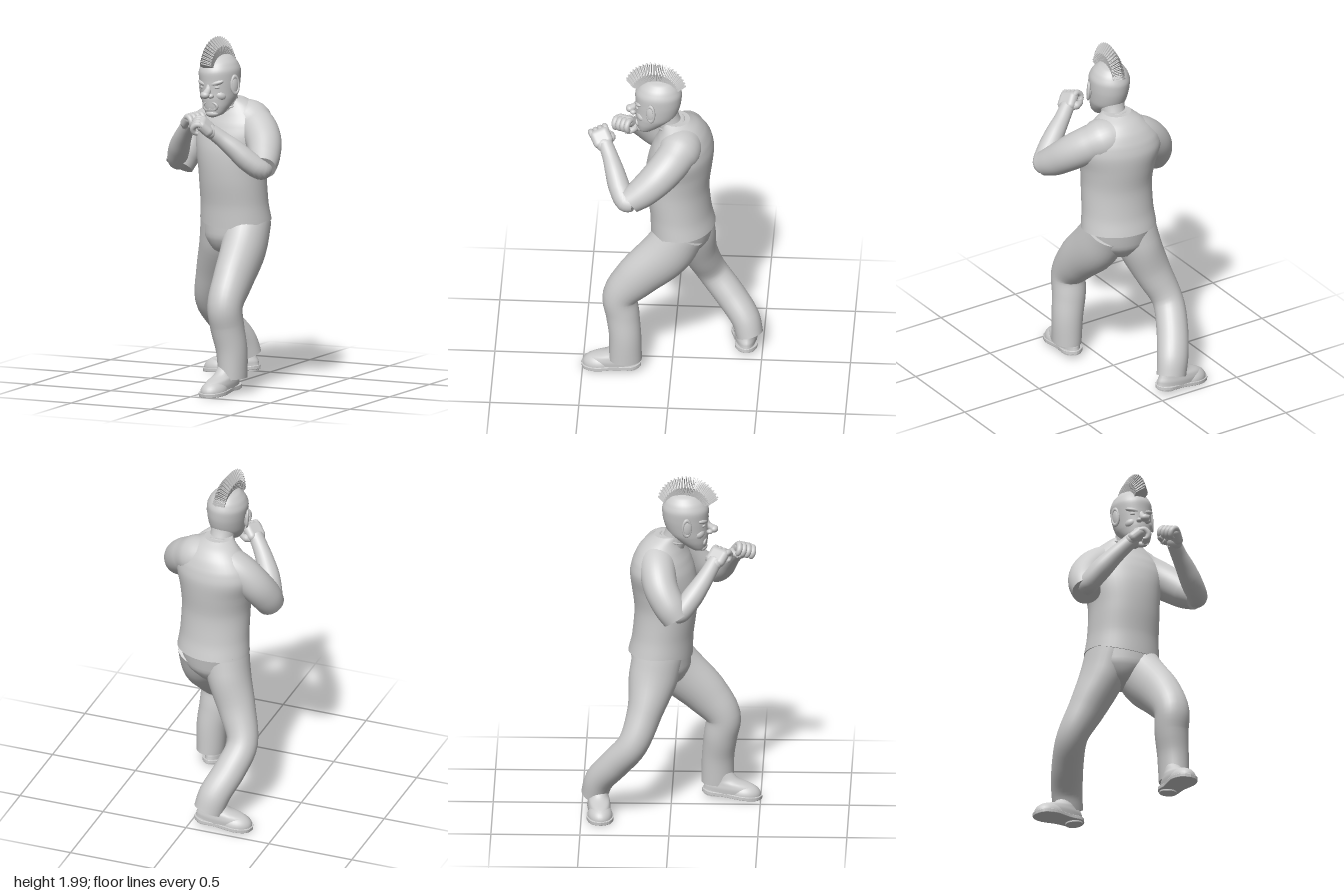
import * as THREE from 'three';
import { RoundedBoxGeometry } from 'three/addons/geometries/RoundedBoxGeometry.js';

const V = (x, y, z) => new THREE.Vector3(x, y, z);
const mat = new THREE.MeshStandardMaterial({ color: 0xcccccc, side: THREE.DoubleSide });

function add(parent, name, geo, pos = [0, 0, 0], scale = [1, 1, 1], rot = [0, 0, 0]) {
  const m = new THREE.Mesh(geo, mat);
  m.name = name;
  m.position.set(...pos);
  m.scale.set(...scale);
  m.rotation.set(...rot);
  parent.add(m);
  return m;
}

// Smooth skin over elliptical rings [x, y, z, radiusA, radiusB].
// flat keeps every ring horizontal; yaw turns the first ring axis about y.
function loft(rows, { flat = false, yaw = 0, seg = 28, steps = 5 } = {}) {
  const path = new THREE.CatmullRomCurve3(rows.map(r => V(r[0], r[1], r[2])));
  const radii = new THREE.CatmullRomCurve3(rows.map(r => V(r[3], r[4] ?? r[3], 0)));
  const n = (rows.length - 1) * steps, pos = [], idx = [];
  for (let i = 0; i <= n; i++) {
    const c = path.getPoint(i / n), r = radii.getPoint(i / n);
    const t = flat ? V(0, 1, 0) : path.getTangent(i / n);
    const u = V(Math.cos(yaw), 0, Math.sin(yaw));
    u.addScaledVector(t, -u.dot(t)).normalize();
    const v = t.clone().cross(u);
    for (let j = 0; j < seg; j++) {
      const a = j / seg * Math.PI * 2;
      const p = c.clone().addScaledVector(u, Math.cos(a) * r.x).addScaledVector(v, Math.sin(a) * r.y);
      pos.push(p.x, p.y, p.z);
      if (i < n) {
        const k = i * seg + j, l = i * seg + (j + 1) % seg;
        idx.push(k, l, l + seg, k, l + seg, k + seg);
      }
    }
  }
  // End caps with their own vertices keep the rims sharp
  for (const i of [0, n]) {
    const base = pos.length / 3;
    pos.push(...pos.slice(i * seg * 3, (i + 1) * seg * 3), ...path.getPoint(i / n).toArray());
    for (let j = 0; j < seg; j++) {
      const a = base + j, b = base + (j + 1) % seg;
      idx.push(base + seg, ...(i ? [a, b] : [b, a]));
    }
  }
  const g = new THREE.BufferGeometry();
  g.setAttribute('position', new THREE.Float32BufferAttribute(pos, 3));
  g.setIndex(idx);
  g.computeVertexNormals();
  return g;
}

const ball = new THREE.SphereGeometry(1, 24, 16);
const dome = new THREE.SphereGeometry(1, 28, 10, 0, Math.PI * 2, 0, Math.PI / 2);

function makeHead() {
  const head = new THREE.Group();
  head.name = 'head';
  add(head, 'skull', loft([
    [0, -0.188, 0.085, 0.012, 0.012], [0, -0.175, 0.077, 0.048, 0.042], [0, -0.13, 0.05, 0.078, 0.08],
    [0, -0.08, 0.022, 0.097, 0.113], [0, 0, 0.008, 0.109, 0.128], [0, 0.06, 0.006, 0.113, 0.132],
    [0, 0.11, 0.003, 0.096, 0.112], [0, 0.145, 0, 0.064, 0.076], [0, 0.163, 0, 0.012, 0.015]], { flat: true, seg: 36 }));
  // Broad upturned nose
  add(head, 'noseBridge', loft([[0, 0.005, 0.12, 0.013], [0, -0.03, 0.132, 0.018], [0, -0.054, 0.16, 0.022]], { seg: 14 }));
  add(head, 'noseTip', ball, [0, -0.056, 0.168], [0.027, 0.021, 0.023]);
  // Grinning mouth: lips, tooth rows and chin
  add(head, 'lips', new THREE.TorusGeometry(0.038, 0.008, 10, 28), [0, -0.126, 0.118], [1.15, 0.7, 1], [0.2, 0, 0]);
  for (let i = -2; i <= 2; i++)
    for (const y of [-0.111, -0.142])
      add(head, 'tooth', new RoundedBoxGeometry(0.011, 0.012, 0.01, 2, 0.003), [i * 0.012, y, 0.125 - Math.abs(i) * 0.003]);
  add(head, 'chin', ball, [0, -0.168, 0.1], [0.042, 0.022, 0.028]);
  for (const s of [-1, 1]) {
    add(head, 'nostril', ball, [s * 0.026, -0.064, 0.146], [0.016, 0.014, 0.018]);
    add(head, 'eye', ball, [s * 0.043, -0.018, 0.111], [0.021, 0.011, 0.016]);
    add(head, 'brow', ball, [s * 0.045, 0.006, 0.11], [0.042, 0.015, 0.02], [0, s * 0.35, s * 0.25]);
    add(head, 'cheek', ball, [s * 0.048, -0.066, 0.09], [0.038, 0.03, 0.03], [0, s * 0.5, s * -0.4]);
    add(head, 'earRim', new THREE.TorusGeometry(0.029, 0.008, 8, 24), [s * 0.115, -0.012, 0.03], [0.8, 1.6, 1], [0, s * 1.15, 0]);
    add(head, 'earBowl', ball, [s * 0.11, -0.014, 0.032], [0.014, 0.05, 0.027], [0, s * -0.3, 0]);
  }
  // Crest: a fan of thin pointed blades over the skull
  const outline = new THREE.Shape([[-0.03, 0], [0.03, 0], [0.037, 0.55], [0, 1], [-0.037, 0.55]]
    .map(p => new THREE.Vector2(...p)));
  const blade = new THREE.ExtrudeGeometry(outline, { depth: 0.006, bevelEnabled: false });
  const count = 42;
  for (let i = 0; i < count; i++) {
    const f = i / (count - 1), a = 1.15 - f * 2.3;
    const tip = 0.193 + 0.02 * Math.sin(f * Math.PI) - 0.022 * f + (i % 2) * 0.008;
    add(head, 'crestBlade', blade, [0, 0.05 + Math.cos(a) * 0.09, 0.012 + Math.sin(a) * 0.09], [1, tip - 0.09, 1], [a, 0, 0]);
  }
  head.position.set(-0.022, 1.737, 0.075);
  head.rotation.set(0, -0.12, 0.06);
  return head;
}

// Closed fist: y runs along the forearm, fingers curl toward +z
function makeFist(name, pos, dir, across, thumbSide) {
  const hand = new THREE.Group();
  hand.name = name;
  add(hand, 'palm', new RoundedBoxGeometry(0.114, 0.105, 0.06, 4, 0.028), [0, -0.005, 0]);
  add(hand, 'heel', ball, [0, -0.045, 0.002], [0.047, 0.045, 0.038]);
  for (let i = 0; i < 4; i++) {
    const x = (i - 1.5) * 0.028;
    add(hand, 'finger', loft([[x, 0.02, -0.008, 0.015], [x, 0.047, 0.005, 0.017], [x, 0.05, 0.038, 0.0165],
      [x, 0.028, 0.054, 0.015], [x, 0.006, 0.044, 0.009]], { seg: 12, steps: 4 }));
  }
  const s = thumbSide;
  add(hand, 'thumb', loft([[s * 0.035, -0.04, 0.014, 0.018], [s * 0.058, -0.012, 0.03, 0.018],
    [s * 0.044, 0.012, 0.055, 0.015], [s * 0.02, 0.02, 0.064, 0.009]], { seg: 12 }));
  const y = V(...dir).normalize(), x = V(...across);
  x.addScaledVector(y, -x.dot(y)).normalize();
  hand.quaternion.setFromRotationMatrix(new THREE.Matrix4().makeBasis(x, y, x.clone().cross(y)));
  hand.position.set(...pos);
  return hand;
}

// Shoe: toe toward +z, heel toward -z
function makeShoe(name, pos, yaw) {
  const shoe = new THREE.Group();
  shoe.name = name;
  const outline = new THREE.Shape(new THREE.SplineCurve([[0, 0.172], [0.05, 0.15], [0.074, 0.08], [0.058, -0.03],
    [0.055, -0.12], [0, -0.165], [-0.055, -0.12], [-0.058, -0.03], [-0.074, 0.08], [-0.05, 0.15], [0, 0.172]]
    .map(p => new THREE.Vector2(...p))).getPoints(48));
  const sole = new THREE.ExtrudeGeometry(outline, { depth: 0.016, bevelSize: 0.003, bevelThickness: 0.003, bevelSegments: 2 });
  sole.rotateX(Math.PI / 2);
  add(shoe, 'sole', sole, [0, 0.022, 0]);
  add(shoe, 'heelBlock', new THREE.CylinderGeometry(0.05, 0.05, 0.02, 24), [0, 0.004, -0.105]);
  add(shoe, 'toeCap', dome, [0, 0.022, 0.073], [0.071, 0.062, 0.094]);
  add(shoe, 'upper', loft([[0, 0.02, 0, 0.062, 0.163], [0, 0.045, 0, 0.064, 0.16], [0, 0.075, -0.012, 0.06, 0.136],
    [0, 0.1, -0.052, 0.053, 0.088], [0, 0.15, -0.08, 0.05, 0.06]], { flat: true }));
  shoe.position.set(...pos);
  shoe.rotation.set(0.09, yaw, 0, 'YXZ');
  return shoe;
}

export function createModel() {
  const g = new THREE.Group();
  g.name = 'boxingMan';

  // Shirt, with the hem dipping at the front
  const shirt = loft([
    [0.005, 0.945, -0.06, 0.216, 0.178], [0.003, 1.05, -0.045, 0.205, 0.17], [0, 1.2, -0.03, 0.203, 0.174],
    [-0.005, 1.33, -0.037, 0.218, 0.182], [-0.005, 1.43, -0.05, 0.24, 0.176], [0, 1.5, -0.055, 0.226, 0.156],
    [0.002, 1.56, -0.055, 0.182, 0.128], [0, 1.605, -0.045, 0.132, 0.1], [-0.01, 1.638, -0.02, 0.08, 0.076]],
  { flat: true, yaw: 0.25, seg: 40 });
  const p = shirt.attributes.position;
  for (let i = 0; i < p.count; i++)
    if (p.getY(i) < 1.02) p.setY(i, p.getY(i) - 0.3 * Math.max(0, p.getZ(i)) * (1.02 - p.getY(i)) / 0.075);
  shirt.computeVertexNormals();
  add(g, 'shirt', shirt);
  // Both sleeves and the shoulders in one sweep across the upper back
  add(g, 'shouldersAndSleeves', loft([
    [-0.3, 1.235, 0.04, 0.08], [-0.285, 1.3, 0, 0.091], [-0.242, 1.385, -0.048, 0.096], [-0.17, 1.46, -0.07, 0.101],
    [-0.08, 1.505, -0.075, 0.105], [0.04, 1.515, -0.065, 0.108], [0.15, 1.483, -0.022, 0.108], [0.237, 1.415, 0.057, 0.101],
    [0.29, 1.335, 0.155, 0.088], [0.318, 1.29, 0.225, 0.072]], { yaw: Math.PI / 2, seg: 36 }));
  add(g, 'collar', new THREE.TorusGeometry(0.075, 0.006, 8, 32), [-0.012, 1.613, 0.008], [1, 1, 1], [Math.PI / 2 + 0.32, 0, 0]);
  add(g, 'neck', loft([[-0.01, 1.55, -0.005, 0.07], [-0.015, 1.64, 0.03, 0.068], [-0.02, 1.72, 0.055, 0.075]]));
  g.add(makeHead());

  // Forearms raised in guard
  add(g, 'leftForearm', loft([[0.325, 1.28, 0.2, 0.045], [0.312, 1.283, 0.245, 0.058], [0.25, 1.335, 0.285, 0.061],
    [0.18, 1.405, 0.318, 0.054], [0.12, 1.457, 0.345, 0.045], [0.065, 1.505, 0.375, 0.041]]));
  g.add(makeFist('leftFist', [0.04, 1.533, 0.4], [-0.6, 0.65, 0.42], [0.2, -0.2, 1], -1));
  add(g, 'rightForearm', loft([[-0.305, 1.25, 0.02, 0.045], [-0.3, 1.275, 0.06, 0.058], [-0.262, 1.345, 0.12, 0.06],
    [-0.215, 1.415, 0.175, 0.052], [-0.172, 1.47, 0.215, 0.045], [-0.125, 1.525, 0.252, 0.041]]));
  g.add(makeFist('rightFist', [-0.11, 1.543, 0.265], [0.62, 0.6, 0.45], [0.4, 0, -1], 1));

  // Trousers in a wide stride
  add(g, 'trouserSeat', loft([[-0.02, 0.735, -0.05, 0.02, 0.03], [-0.015, 0.77, -0.045, 0.1, 0.105],
    [0, 0.85, -0.05, 0.185, 0.158], [0, 0.96, -0.06, 0.208, 0.17]], { flat: true, yaw: 0.3 }));
  add(g, 'frontTrouserLeg', loft([[0.08, 0.94, -0.06, 0.132, 0.135], [0.098, 0.8, 0.025, 0.124, 0.146],
    [0.11, 0.64, 0.185, 0.11, 0.128], [0.11, 0.5, 0.288, 0.1, 0.1], [0.118, 0.38, 0.275, 0.096, 0.095],
    [0.138, 0.25, 0.26, 0.088, 0.091], [0.145, 0.09, 0.257, 0.08, 0.092]]));
  add(g, 'backTrouserLeg', loft([[-0.075, 0.94, -0.07, 0.128, 0.145], [-0.105, 0.8, -0.1, 0.122, 0.138],
    [-0.17, 0.62, -0.145, 0.106, 0.1], [-0.228, 0.45, -0.21, 0.088, 0.087], [-0.192, 0.32, -0.31, 0.09, 0.086],
    [-0.135, 0.2, -0.4, 0.09, 0.082], [-0.108, 0.105, -0.428, 0.086, 0.076]]));
  g.add(makeShoe('frontShoe', [0.112, 0.018, 0.335], -0.12));
  g.add(makeShoe('backShoe', [-0.185, 0.018, -0.4], -1.48));
  return g;
}
